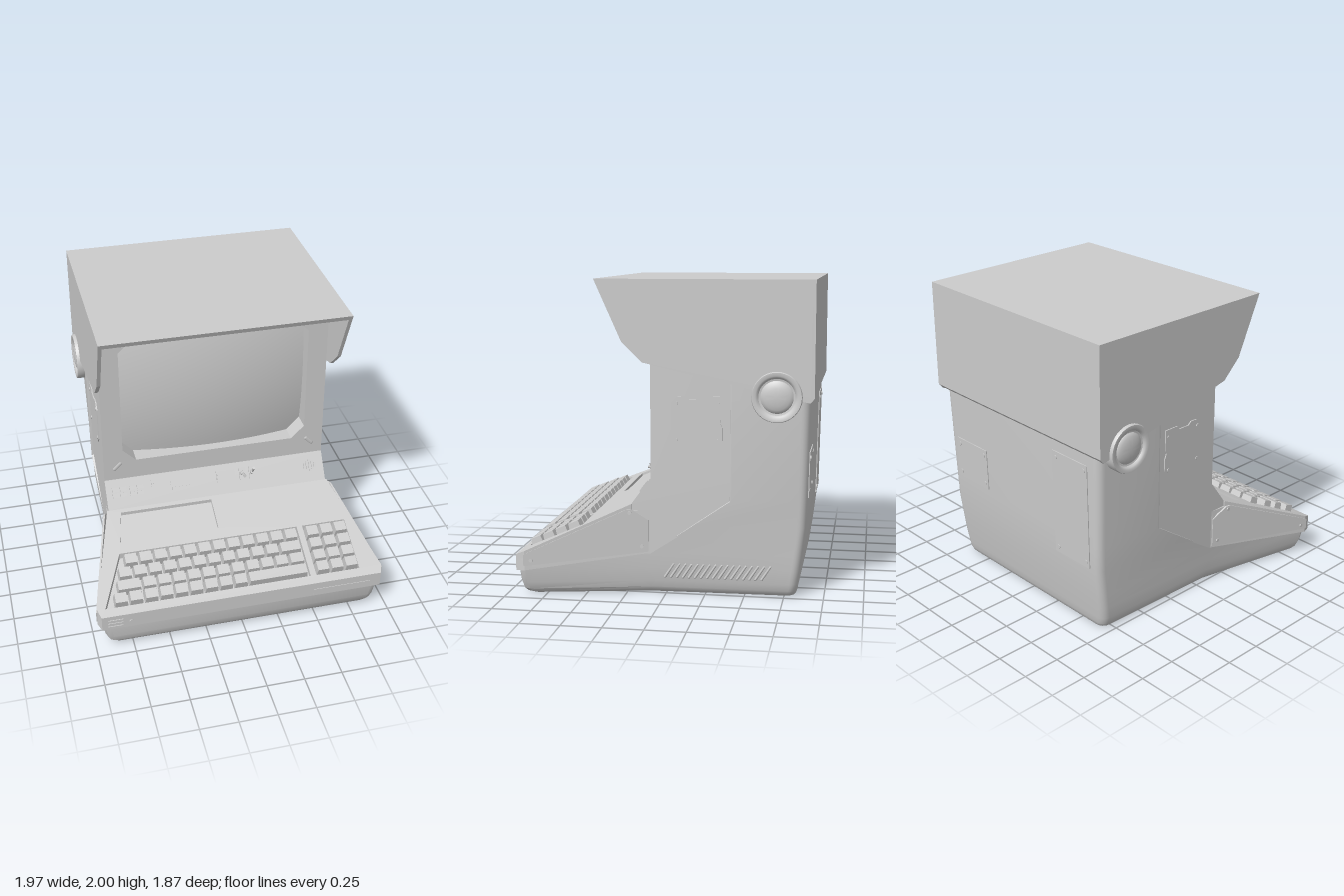
import * as THREE from 'three';
import { toCreasedNormals } from 'three/addons/utils/BufferGeometryUtils.js';

const grey = new THREE.MeshStandardMaterial({ color: 0xcccccc });
const greyTwoSided = new THREE.MeshStandardMaterial({ color: 0xcccccc, side: THREE.DoubleSide });

function add(parent, name, geo, x = 0, y = 0, z = 0, material = grey) {
  const mesh = new THREE.Mesh(geo, material);
  mesh.name = name;
  mesh.position.set(x, y, z);
  parent.add(mesh);
  return mesh;
}
const box = (w, h, d) => new THREE.BoxGeometry(w, h, d);
const shapeOf = (pts) => new THREE.Shape(pts.map(([a, b]) => new THREE.Vector2(a, b)));

// Extrude a side profile of [z, y] points from x0 to x1
function extrudeX(pts, x0, x1) {
  const geo = new THREE.ExtrudeGeometry(shapeOf(pts.map(([z, y]) => [-z, y])), { depth: x1 - x0, bevelEnabled: false });
  return geo.rotateY(Math.PI / 2).translate(x0, 0, 0);
}

// Skin over rings of [x, y, z] points, closed with fans at both ends
function loft(rings, crease) {
  const pos = [], n = rings[0].length;
  const mid = (r) => [0, 1, 2].map((k) => r.reduce((s, p) => s + p[k], 0) / n);
  const first = rings[0], last = rings[rings.length - 1], m0 = mid(first), m1 = mid(last);
  for (let j = 0; j < n; j++) {
    const k = (j + 1) % n;
    for (let i = 0; i < rings.length - 1; i++) {
      const a = rings[i][j], b = rings[i][k], c = rings[i + 1][k], d = rings[i + 1][j];
      pos.push(...a, ...b, ...c, ...a, ...c, ...d);
    }
    pos.push(...m0, ...first[k], ...first[j], ...m1, ...last[j], ...last[k]);
  }
  const geo = new THREE.BufferGeometry();
  geo.setAttribute('position', new THREE.Float32BufferAttribute(pos, 3));
  geo.computeVertexNormals();
  return toCreasedNormals(geo, crease);
}

// Half widths of the rear shell at its waist and at its back, by height
const waist = (y) => 0.79 - 0.04 * Math.max(0, 1 - y / 0.6);
const rear = (y) => 0.765 - 0.04 * Math.max(0, 1 - y / 1.2);

// Plan outline of the rear shell at one height
function shellRing([y, inset, zFront, zBack]) {
  const hw = waist(y) - inset * 0.6, hr = rear(y) - inset * 0.6;
  const zf = zFront - inset, zb = zBack + inset * 0.4;
  const wf = waist(y) - inset * 1.2 + Math.max(0, zFront - 0.1) * 0.222;
  const c = zFront > 0.2 ? 0.05 : 0.004, r = 0.055;
  const half = [[wf - c, zf], [wf - c * 0.3, zf - c * 0.3], [wf, zf - c], [hw, Math.min(0.1, zf - 0.01)]];
  for (let i = 0; i <= 6; i++) {
    const t = (i / 6) * Math.PI / 2;
    half.push([hr - r + r * Math.cos(t), zb + r - r * Math.sin(t)]);
  }
  const other = half.map(([x, z]) => [-x, z]).reverse();
  return [...half, ...other].map(([x, z]) => [x, y, z]);
}

// Tapered key cap
function keyGeo(w, d) {
  const geo = box(w, 0.07, d), p = geo.attributes.position;
  for (let i = 0; i < p.count; i++) {
    if (p.getY(i) > 0) p.setXYZ(i, p.getX(i) - Math.sign(p.getX(i)) * 0.007, p.getY(i), p.getZ(i) * 0.82 - 0.003);
  }
  geo.computeVertexNormals();
  return geo;
}

const SLOPE = 0.31 / 0.71, TILT = Math.atan(SLOPE);
const deskY = (z) => 0.27 + (0.93 - z) * SLOPE;
const flare = (z) => 0.775 + Math.max(0, z - 0.1) * 0.26;

export function createModel() {
  const model = new THREE.Group();
  model.name = 'computerTerminal';

  // Rear shell and lower tub: height, inset, front z, back z
  add(model, 'rearShell', loft([
    [0, 0.06, 0.925, -0.836], [0.012, 0.038, 0.925, -0.837], [0.035, 0.02, 0.925, -0.838], [0.08, 0.008, 0.925, -0.84],
    [0.165, 0, 0.925, -0.85], [0.265, 0, 0.1, -0.863], [0.45, 0, -0.166, -0.885],
    [0.62, 0, -0.41, -0.89], [1.25, 0, -0.41, -0.903], [1.9, 0, -0.41, -0.903],
  ].map(shellRing), 0.45));

  // Desk base with flared sides: z, top half width, bottom half width, bottom y, top y
  add(model, 'deskBase', loft([
    [0.93, 0.955, 0.955, 0.165, 0.23], [0.87, 0.975, 0.978, 0.172, 0.256],
    [0.22, 0.785, 0.806, 0.25, 0.54], [0.1, 0.775, 0.775, 0.265, 0.54],
  ].map(([z, wt, wb, yb, yt]) => [[-wt, yt, z], [wt, yt, z], [wb, yb, z], [-wb, yb, z]]), 0.1));

  // Sloping desk top with wells for the keys and display
  const top = shapeOf([[-0.955, 0], [0.955, 0], [0.975, 0.065], [0.785, 0.775], [-0.785, 0.775], [-0.975, 0.065]]);
  top.holes.push(
    shapeOf([[-0.92, 0.06], [-0.76, 0.44], [0.475, 0.44], [0.475, 0.06]]),
    shapeOf([[0.515, 0.06], [0.515, 0.44], [0.82, 0.44], [0.82, 0.06]]),
    shapeOf([[-0.74, 0.525], [-0.695, 0.747], [-0.06, 0.747], [-0.06, 0.525]]));
  const deskGeo = new THREE.ExtrudeGeometry(top, { depth: 0.04, bevelEnabled: false });
  deskGeo.applyMatrix4(new THREE.Matrix4().makeBasis(
    new THREE.Vector3(1, 0, 0), new THREE.Vector3(0, Math.sin(TILT), -Math.cos(TILT)), new THREE.Vector3(0, 1, 0)));
  add(model, 'deskTop', deskGeo, 0, 0.23, 0.93);
  add(model, 'displayStrip', box(0.67, 0.02, 0.21), -0.3975, deskY(0.343) - 0.028, 0.343).rotation.x = TILT;

  // Keyboard rows: z, left edge, key widths
  const keys = new THREE.Group();
  keys.name = 'keyboard';
  model.add(keys);
  const run = (n) => Array(n).fill(0.1008);
  const addKey = (x, z, w) => { add(keys, 'key', keyGeo(w - 0.009, 0.083), x, deskY(z) - 0.001, z).rotation.x = TILT; };
  [[0.584, -0.745, run(12)], [0.668, -0.8, [...run(11), 0.156]],
    [0.752, -0.825, [0.17, ...run(10), 0.112]], [0.832, -0.86, [...run(9), 0.415]]].forEach(([z, x, widths]) => {
    for (const w of widths) { addKey(x + w / 2, z, w); x += w; }
    for (let c = 0; c < 3; c++) addKey(0.567 + c * 0.1, z, 0.1);
  });

  // Sloping control panel section and the screen housing
  add(model, 'controlPanel', extrudeX([[0.22, 0.26], [0.22, 0.58], [0.1, 0.745], [-0.45, 0.745], [-0.45, 0.62], [0.1, 0.26]], -0.775, 0.775));
  const face = shapeOf([[-0.775, 0.745], [0.775, 0.745], [0.775, 1.967], [-0.775, 1.967]]);
  const a = 0.64, b = 0.55;
  face.holes.push(shapeOf([[-a, 0.975], [-a, 1.73], [-b, 1.818], [b, 1.818], [a, 1.73], [a, 0.975], [b, 0.885], [-b, 0.885]]));
  add(model, 'screenHousing', new THREE.ExtrudeGeometry(face, { depth: 0.505, bevelEnabled: false }), 0, 0, -0.41);

  // Bulging screen
  const screen = new THREE.PlaneGeometry(1.3, 0.96, 20, 16), sp = screen.attributes.position;
  for (let i = 0; i < sp.count; i++) sp.setZ(i, -0.07 * (sp.getX(i) / 0.65) ** 2 - 0.05 * (sp.getY(i) / 0.48) ** 2);
  screen.computeVertexNormals();
  add(model, 'screen', screen, 0, 1.352, 0.075, greyTwoSided);

  // Diagonal slots at the corners of the screen
  for (const sx of [-1, 1]) for (const [y, sy] of [[1.858, 1], [0.848, -1]]) {
    const slot = add(model, 'cornerSlot', new THREE.CapsuleGeometry(0.014, 0.055, 4, 8), sx * 0.68, y, 0.094);
    slot.rotation.z = -sx * sy * Math.PI / 4;
    slot.scale.z = 0.4;
  }

  // Controls on the sloping panel
  const panel = new THREE.Group();
  panel.name = 'panelControls';
  panel.position.set(0, 0.6625, 0.16);
  panel.rotation.x = -Math.atan2(0.12, 0.165);
  model.add(panel);
  for (const x of [-0.71, -0.656, -0.589, -0.538]) for (const y of [-0.008, 0.032]) {
    add(panel, 'pushButton', box(0.046, 0.028, 0.024), x, y, 0.005);
  }
  add(panel, 'diskSlot', box(0.425, 0.045, 0.016), -0.247, 0.042, 0.004);
  add(panel, 'diskSlotLip', box(0.4, 0.01, 0.03), -0.247, 0.042, 0.004);
  add(panel, 'diskGuide', box(0.14, 0.03, 0.026), -0.255, 0.03, 0.006);
  add(panel, 'diskLatch', box(0.13, 0.02, 0.03), -0.255, -0.014, 0.006);
  add(panel, 'rockerFrame', box(0.13, 0.075, 0.016), 0.065, 0.022, 0.004);
  for (const y of [0.004, 0.04]) add(panel, 'rocker', box(0.12, 0.026, 0.03), 0.065, y, 0.004);
  for (const [x, t] of [[0.185, 1.95], [0.255, 1.15]]) {
    add(panel, 'toggleBase', box(0.042, 0.085, 0.016), x, 0.02, 0.004);
    add(panel, 'toggleCollar', new THREE.CylinderGeometry(0.014, 0.017, 0.03, 12).rotateX(Math.PI / 2), x, 0.025, 0.018);
    const lever = new THREE.CylinderGeometry(0.011, 0.006, 0.06, 10).translate(0, 0.03, 0);
    add(panel, 'toggleLever', lever, x, 0.025, 0.025).rotation.x = t;
  }
  for (let i = -2; i <= 2; i++) add(panel, 'speakerSlot', box(0.013, 0.085 - 0.025 * Math.abs(i), 0.016), 0.675 + i * 0.019, 0.012, 0.002);

  // Small parts on the front edge
  for (let i = 0; i < 3; i++) add(model, 'frontVent', box(0.1, 0.016, 0.012), -0.865, 0.182 + i * 0.025, 0.93);
  add(model, 'frontJack', new THREE.CylinderGeometry(0.014, 0.014, 0.012, 16).rotateX(Math.PI / 2), -0.76, 0.207, 0.93);
  add(model, 'frontLabelStrip', box(0.4, 0.05, 0.008), 0.68, 0.195, 0.93);

  // Hood: top with back, and two cheeks
  add(model, 'hoodTop', extrudeX([[0.445, 2], [0.431, 1.968], [-0.907, 1.968], [-0.907, 1.255], [-0.93, 1.28], [-0.93, 2]], -0.81, 0.81));
  const cheek = [[0.445, 2], [0.27, 1.61], [0.14, 1.485], [-0.41, 1.36], [-0.87, 1.257], [-0.905, 1.25], [-0.93, 1.28], [-0.93, 2]];
  const sidePlate = [[-0.04, 1.0], [-0.04, 1.235], [-0.08, 1.275], [-0.13, 1.275], [-0.15, 1.255], [-0.235, 1.255], [-0.25, 1.28],
    [-0.355, 1.28], [-0.355, 1.14], [-0.345, 1.12], [-0.36, 1.08], [-0.36, 1.0], [-0.34, 0.96], [-0.07, 0.96]];
  const deskPlate = [[0.875, 0.2], [0.875, 0.275], [0.24, 0.552], [0.21, 0.55], [0.11, 0.48], [0.11, 0.275]];
  const screw = (name, x, y, z) => add(model, name, new THREE.CylinderGeometry(0.012, 0.012, 0.01, 12).rotateZ(Math.PI / 2), x, y, z);
  for (const s of [-1, 1]) {
    add(model, 'hoodCheek', extrudeX(cheek, s * 0.798 - 0.012, s * 0.798 + 0.012));

    // Round pivot knob with a domed middle
    const profile = [[0.157, 0], [0.157, 0.06], [0.153, 0.068], [0.132, 0.068], [0.122, 0.062], [0.114, 0.05], [0.102, 0.048],
      [0.097, 0.054], [0.08, 0.062], [0.055, 0.068], [0.028, 0.071], [0, 0.072]].map(([r, h]) => new THREE.Vector2(r, h));
    add(model, 'pivotKnob', toCreasedNormals(new THREE.LatheGeometry(profile, 40), 0.6).rotateZ(-s * Math.PI / 2), s * 0.764, 1.285, -0.7);

    // Screwed access plates on the tower and desk sides
    add(model, 'sidePlate', extrudeX(sidePlate, s * 0.775 - 0.007, s * 0.775 + 0.007));
    for (const z of [-0.07, -0.33]) for (const y of [1.0, 1.23]) screw('sidePlateScrew', s * 0.782, y, z);
    const plate = extrudeX(deskPlate, -0.006, 0.006), p = plate.attributes.position;
    for (let i = 0; i < p.count; i++) p.setX(i, p.getX(i) + s * flare(p.getZ(i)));
    plate.computeVertexNormals();
    add(model, 'deskSidePlate', plate);
    for (const [z, y] of [[0.83, 0.235], [0.225, 0.53], [0.15, 0.31]]) screw('deskPlateScrew', s * (flare(z) + 0.006), y, z);
  }

  // Slanted cooling slots, on one side only, following the narrowing shell
  for (let i = 0; i < 17; i++) {
    const z = -0.02 - i * 0.0385;
    const x = THREE.MathUtils.lerp(waist(0.15), rear(0.15), (0.1 - z) / 0.9);
    const slot = add(model, 'coolingSlot', new THREE.CapsuleGeometry(0.008, 0.1, 3, 8), x - 0.002, 0.15, z);
    slot.rotation.x = -0.58;
  }

  // Access plates on the back, following its slight lean
  for (const [name, x, y, w, h, z] of [['smallBackPlate', 0.51, 0.78, 0.32, 0.29, -0.893], ['tallBackPlate', -0.5, 0.82, 0.32, 0.72, -0.894]]) {
    const group = new THREE.Group();
    group.name = name;
    group.position.set(x, y, z);
    group.rotation.x = -0.02;
    model.add(group);
    add(group, 'plate', box(w, h, 0.012));
    for (const sx of [-1, 1]) for (const sy of [-1, 1]) {
      add(group, 'backScrew', new THREE.CylinderGeometry(0.014, 0.014, 0.016, 12).rotateX(Math.PI / 2), sx * (w / 2 - 0.03), sy * (h / 2 - 0.04), -0.003);
    }
  }
  return model;
}
